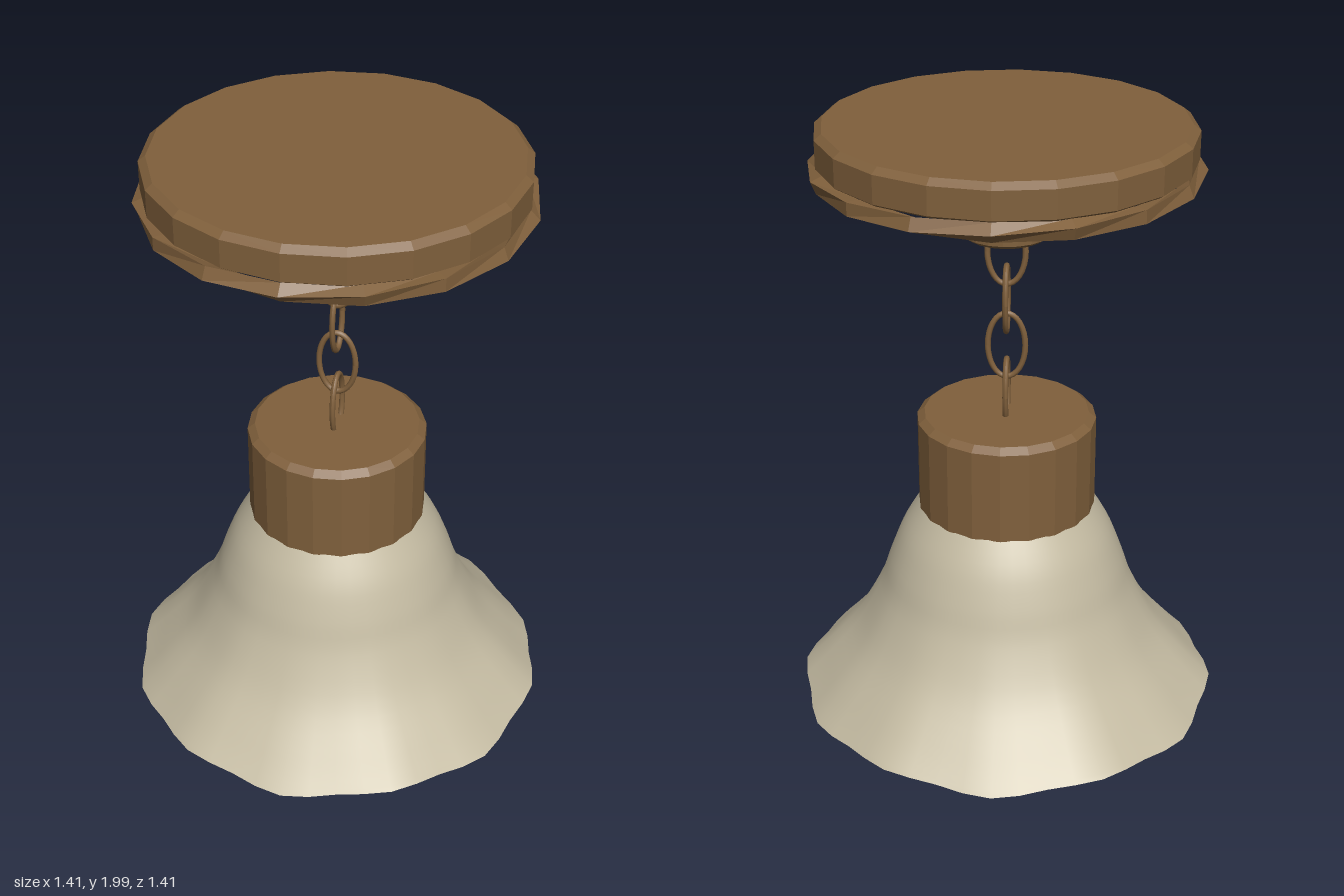
import * as THREE from 'three';

const wood = new THREE.MeshStandardMaterial({ color: 0x80603c });
wood.name = 'warm brown';
const linen = new THREE.MeshStandardMaterial({ color: 0xc4bba2, side: THREE.DoubleSide });
linen.name = 'pale stone';

function add(group, name, geometry, material) {
  const mesh = new THREE.Mesh(geometry, material);
  mesh.name = name;
  group.add(mesh);
  return mesh;
}

function faceted(geometry) {
  const flat = geometry.toNonIndexed();
  flat.computeVertexNormals();
  return flat;
}

const profile = (pairs) => pairs.map(([r, y]) => new THREE.Vector2(r, y));

// Solid disc with bevelled top and bottom edges
function bevelledDrum(r, y0, y1, bevelTop, bevelBottom, sides) {
  return faceted(new THREE.LatheGeometry(profile([
    [0, y0], [r - bevelBottom, y0], [r, y0 + bevelBottom * 0.7],
    [r, y1 - bevelTop * 0.8], [r - bevelTop, y1], [0, y1],
  ]), sides));
}

// Four-sided ring whose section makes one full turn around the loop
function twistedRing(radius, tube, y) {
  const sides = 4, steps = 16;
  const geometry = new THREE.TorusGeometry(radius, tube, sides, steps);
  const pos = geometry.attributes.position;
  for (let j = 0; j <= sides; j++) {
    for (let i = 0; i <= steps; i++) {
      const u = (i / steps) * Math.PI * 2;
      const v = (j / sides) * Math.PI * 2 + u;
      const r = radius + tube * Math.cos(v);
      pos.setXYZ(j * (steps + 1) + i, r * Math.cos(u), r * Math.sin(u), tube * Math.sin(v));
    }
  }
  geometry.rotateX(-Math.PI / 2);
  geometry.translate(0, y, 0);
  return faceted(geometry);
}

// Flared bell whose folds grow towards a gently waved rim
function bellShade() {
  const curve = new THREE.SplineCurve(profile([
    [0.695, 0.018], [0.62, 0.1], [0.51, 0.235], [0.43, 0.385],
    [0.39, 0.5], [0.345, 0.61], [0.285, 0.71],
  ]));
  const geometry = new THREE.LatheGeometry(curve.getPoints(24), 48);
  const pos = geometry.attributes.position;
  for (let i = 0; i < pos.count; i++) {
    const x = pos.getX(i), y = pos.getY(i), z = pos.getZ(i);
    const angle = Math.atan2(x, z);
    const flare = Math.max(0, 1 - y / 0.7) ** 2;
    const swell = 1 + 0.015 * flare * Math.cos(12 * angle);
    pos.setXYZ(i, x * swell, y - 0.011 * flare * Math.cos(6 * angle), z * swell);
  }
  // Average the normals over the lathe seam
  geometry.computeVertexNormals();
  const normal = geometry.attributes.normal;
  const rows = 25, last = rows * 48;
  for (let j = 0; j < rows; j++) {
    const n = new THREE.Vector3().fromBufferAttribute(normal, j)
      .add(new THREE.Vector3().fromBufferAttribute(normal, last + j)).normalize();
    normal.setXYZ(j, n.x, n.y, n.z);
    normal.setXYZ(last + j, n.x, n.y, n.z);
  }
  return geometry;
}

export function createModel() {
  const lamp = new THREE.Group();
  lamp.name = 'pendantLamp';

  // Ceiling plate with its rim ring and the hanging knob
  add(lamp, 'ceilingPlate', bevelledDrum(0.585, 1.885, 2, 0.023, 0.012, 20), wood);
  add(lamp, 'ceilingRing', twistedRing(0.582, 0.03, 1.86), wood);
  add(lamp, 'knob', bevelledDrum(0.145, 1.635, 1.803, 0.02, 0.02, 20), wood);

  // Chain of oval links, each a quarter turn from the last
  const chain = new THREE.Group();
  chain.name = 'chain';
  for (let i = 0; i < 4; i++) {
    const link = new THREE.TorusGeometry(0.06, 0.0095, 8, 32);
    const pos = link.attributes.position;
    for (let k = 0; k < pos.count; k++) {
      const y = pos.getY(k);
      // Stretch the centre line only, keeping the wire round
      const a = Math.atan2(y, pos.getX(k));
      pos.setY(k, y + 0.05 * Math.sin(a));
    }
    link.computeVertexNormals();
    const mesh = add(chain, 'link', link, wood);
    mesh.position.y = 1.58 - i * 0.16;
    mesh.rotation.y = (i % 2) * Math.PI / 2;
  }
  lamp.add(chain);

  // Socket cap and shade
  add(lamp, 'cap', bevelledDrum(0.292, 0.698, 1.03, 0.024, 0.005, 20), wood);
  add(lamp, 'shade', bellShade(), linen);

  // Bulb inside the shade
  const bulb = add(lamp, 'bulb', new THREE.SphereGeometry(0.117, 24, 16), linen);
  bulb.scale.y = 1.28;
  bulb.position.y = 0.41;
  const neck = add(lamp, 'bulbNeck', new THREE.CylinderGeometry(0.06, 0.075, 0.22, 20), linen);
  neck.position.y = 0.6;

  return lamp;
}
